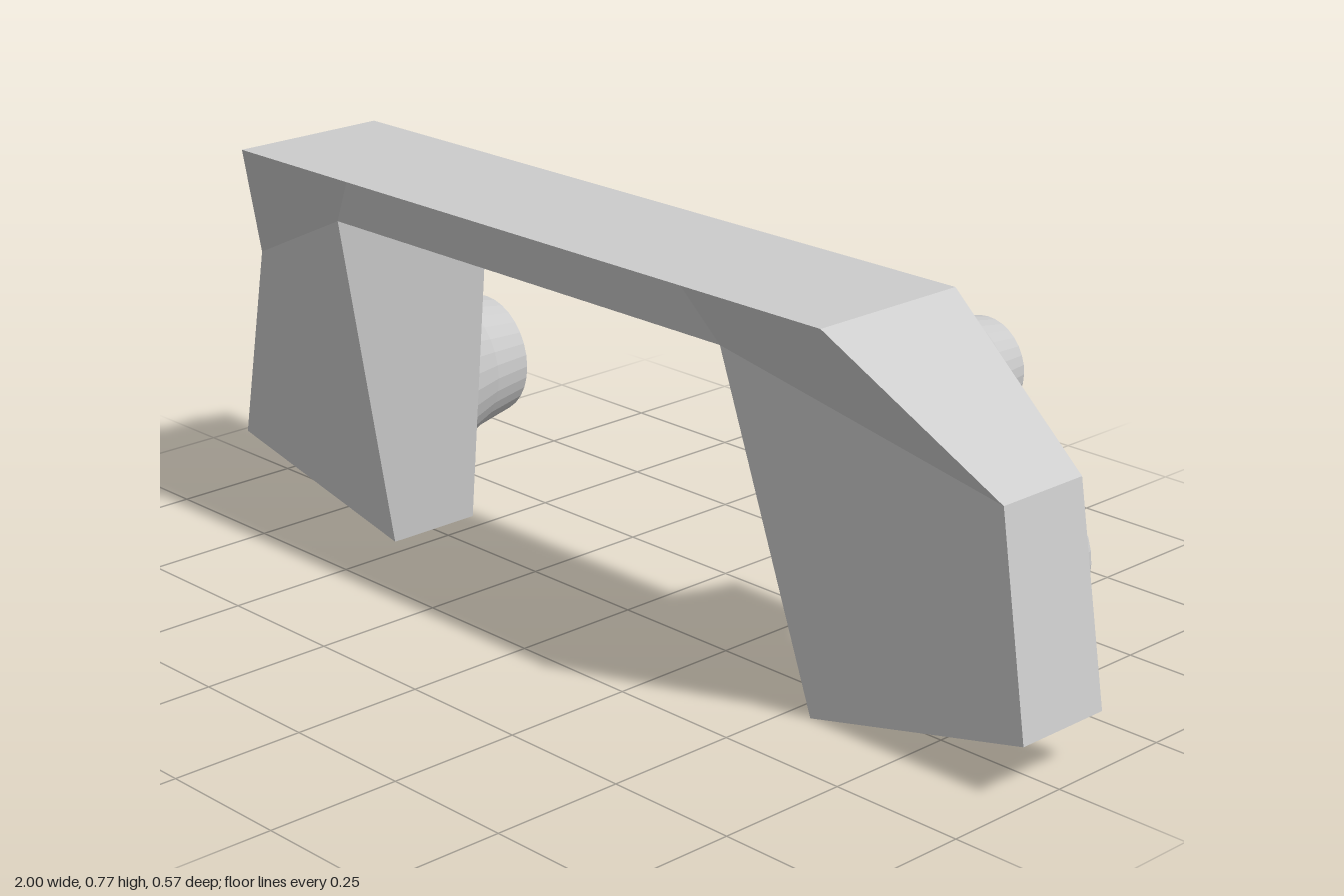
import * as THREE from 'three';

// Half outline of the arch: [x, y, front z, back z]
const OUTLINE = {
  barTop: [0.42, 0.77, 0.284, -0.026],
  shoulder: [0.724, 0.77, 0.284, -0.026],
  elbow: [0.936, 0.49, 0.09, -0.1],
  footOuter: [1, 0.105, 0.095, -0.1],
  footInner: [0.544, 0, 0.095, -0.1],
  barBottom: [0.483, 0.68, 0.257, -0.1],
};

const material = new THREE.MeshStandardMaterial({ color: 0xcccccc });
const nozzleMaterial = new THREE.MeshStandardMaterial({
  color: 0xcccccc, flatShading: true, side: THREE.DoubleSide,
});

// Corner of the arch on side s (+1 left, -1 right)
function corner(name, face, s) {
  const [x, y, front, back] = OUTLINE[name];
  return new THREE.Vector3(s * x, y, face === 'front' ? front : back);
}

// Geometry from four-cornered panels, each with one shared normal
function panelGeometry(panels) {
  const positions = [], normals = [];
  for (const [a, b, c, d] of panels) {
    const n = c.clone().sub(a).cross(d.clone().sub(b)).normalize();
    for (const p of [a, b, c, a, c, d]) {
      positions.push(p.x, p.y, p.z);
      normals.push(n.x, n.y, n.z);
    }
  }
  const geometry = new THREE.BufferGeometry();
  geometry.setAttribute('position', new THREE.Float32BufferAttribute(positions, 3));
  geometry.setAttribute('normal', new THREE.Float32BufferAttribute(normals, 3));
  return geometry;
}

// Angular leg with its chamfered shoulder
function makeLeg(s) {
  const panels = [];
  const add = (corners) => panels.push(s > 0 ? corners : corners.reverse());
  const faces = [
    ['footInner', 'footOuter', 'elbow', 'barBottom'],
    ['barBottom', 'elbow', 'shoulder', 'barTop'],
  ];
  for (const names of faces) {
    add(names.map((n) => corner(n, 'front', s)));
    add(names.map((n) => corner(n, 'back', s)).reverse());
  }
  // Rim panels joining front and back
  const rim = ['barBottom', 'footInner', 'footOuter', 'elbow', 'shoulder', 'barTop'];
  for (let i = 0; i < rim.length - 1; i++) {
    add([
      corner(rim[i], 'front', s), corner(rim[i], 'back', s),
      corner(rim[i + 1], 'back', s), corner(rim[i + 1], 'front', s),
    ]);
  }
  const leg = new THREE.Mesh(panelGeometry(panels), material);
  leg.name = s > 0 ? 'leftLeg' : 'rightLeg';
  return leg;
}

// Straight bar between the legs
function makeCrossbar() {
  const loop = [['barTop', 'front'], ['barBottom', 'front'], ['barBottom', 'back'], ['barTop', 'back']];
  const panels = loop.map(([name, face], i) => {
    const [nextName, nextFace] = loop[(i + 1) % loop.length];
    return [
      corner(name, face, -1), corner(nextName, nextFace, -1),
      corner(nextName, nextFace, 1), corner(name, face, 1),
    ];
  });
  const bar = new THREE.Mesh(panelGeometry(panels), material);
  bar.name = 'crossbar';
  return bar;
}

// Flared thruster nozzle with a recessed mouth, pointing backwards
function makeNozzle(name, x, y, z, radii, length) {
  const [base, middle, tip] = radii;
  const profile = [
    [0, 0], [base, 0], [middle, length * 0.5], [tip, length],
    [tip * 0.8, length], [tip * 0.69, length * 0.8], [0, length * 0.8],
  ].map(([r, h]) => new THREE.Vector2(r, h));
  const nozzle = new THREE.Mesh(new THREE.LatheGeometry(profile, 32), nozzleMaterial);
  nozzle.rotation.x = -Math.PI / 2;
  nozzle.position.set(x, y, z);
  nozzle.name = name;
  return nozzle;
}

export function createModel() {
  const model = new THREE.Group();
  model.name = 'thrusterArch';
  model.add(makeCrossbar());
  for (const s of [1, -1]) {
    const side = s > 0 ? 'left' : 'right';
    model.add(
      makeLeg(s),
      makeNozzle(side + 'LargeNozzle', s * 0.704, 0.254, -0.105, [0.166, 0.135, 0.118], 0.178),
      makeNozzle(side + 'SmallNozzle', s * 0.63, 0.575, -0.098, [0.115, 0.093, 0.081], 0.124),
    );
  }
  return model;
}
